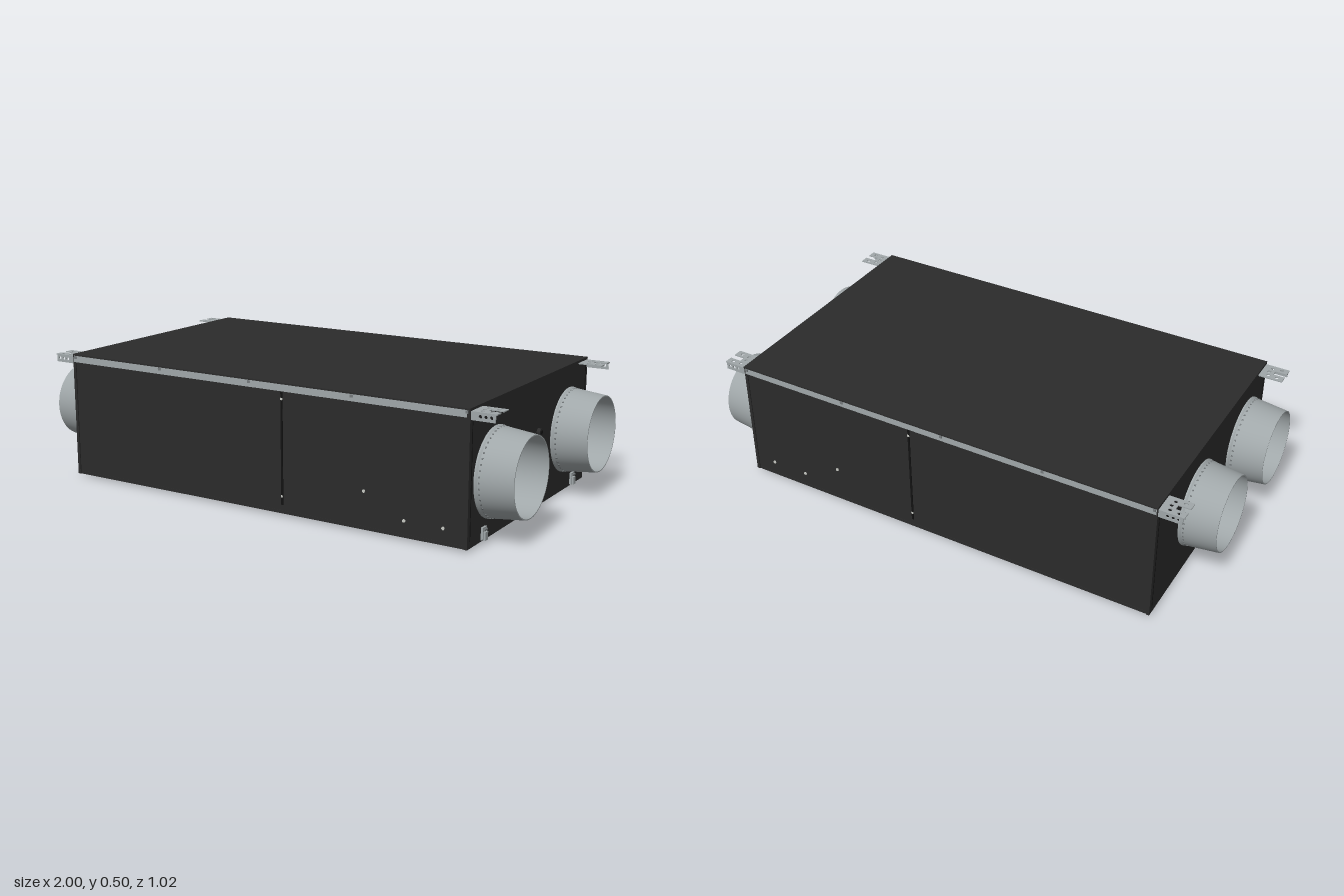
import * as THREE from 'three';
import { mergeGeometries, toCreasedNormals } from 'three/addons/utils/BufferGeometryUtils.js';

const mat = (name, color, side = THREE.FrontSide) => {
  const m = new THREE.MeshStandardMaterial({ color, side });
  m.name = name;
  return m;
};

export function createModel() {
  const root = new THREE.Group();
  root.name = 'ventilationUnit';
  const black = mat('casingBlack', 0x2b2b2b);
  const seamBlack = mat('seamBlack', 0x121212);
  const steel = mat('galvanisedSteel', 0xa0a7a9, THREE.DoubleSide);
  const darkSteel = mat('fanSteel', 0x74797b);
  const pale = mat('filterPale', 0xc6c8c2);

  const add = (name, geo, material, x = 0, y = 0, z = 0, parent = root) => {
    const m = new THREE.Mesh(geo, material);
    m.name = name;
    m.position.set(x, y, z);
    parent.add(m);
    return m;
  };
  const box = (name, material, w, h, d, x, y, z, parent) =>
    add(name, new THREE.BoxGeometry(w, h, d), material, x, y, z, parent);

  // Hollow casing
  box('bottomPanel', black, 1.716, 0.012, 1.01, 0, 0.016, 0);
  box('topPanel', black, 1.724, 0.006, 1.02, 0, 0.492, 0);
  for (const s of [-1, 1]) {
    box('sidePanel', black, 1.716, 0.475, 0.012, 0, 0.25, s * 0.498);
    box('topRail', steel, 1.716, 0.026, 0.004, 0, 0.476, s * 0.506);
    box('sideSeam', seamBlack, 0.008, 0.42, 0.003, 0.12, 0.253, s * 0.505);
    for (const y of [0.075, 0.435])
      box('seamScrew', pale, 0.008, 0.008, 0.003, 0.12, y, s * 0.507);
    for (const [x, y] of [[0.46, 0.15], [0.62, 0.07], [0.77, 0.07]]) {
      const screw = add('sideScrew', new THREE.CylinderGeometry(0.006, 0.006, 0.004, 12), pale, x, y, s * 0.505);
      screw.rotation.x = Math.PI / 2;
    }
    for (const x of [-0.85, -0.43, -0.02, 0.41, 0.85])
      box('railRivet', darkSteel, 0.01, 0.01, 0.004, x, 0.482, s * 0.509);
  }

  // Ducts: [side, y, z, interior]
  const ducts = [
    [1, 0.235, 0.31, 'filter'], [1, 0.245, -0.33, 'fan'],
    [-1, 0.262, 0.31, 'fan'], [-1, 0.262, -0.14, 'filter'],
  ];

  // End panels with duct openings
  for (const s of [-1, 1]) {
    const shape = new THREE.Shape();
    shape.moveTo(-0.508, 0.01);
    shape.lineTo(0.508, 0.01);
    shape.lineTo(0.508, 0.49);
    shape.lineTo(-0.508, 0.49);
    for (const [side, y, z] of ducts) {
      if (side !== s) continue;
      const hole = new THREE.Path();
      hole.absarc(-z, y, 0.146, 0, Math.PI * 2, true);
      shape.holes.push(hole);
    }
    const geo = new THREE.ExtrudeGeometry(shape, { depth: 0.012, bevelEnabled: false, curveSegments: 32 });
    geo.rotateY(Math.PI / 2);
    add('endPanel', geo, black, s > 0 ? 0.85 : -0.862);
    for (const z of [-0.49, 0.49])
      box('endSeam', seamBlack, 0.002, 0.44, 0.003, s * 0.8625, 0.255, z);
  }

  // Tapered duct collar, flared against the casing, with a ring of perforations
  const profile = [[0.146, -0.01], [0.163, 0], [0.163, 0.006], [0.159, 0.012], [0.158, 0.03],
    [0.146, 0.138], [0.142, 0.138], [0.146, -0.01]].map(([r, h]) => new THREE.Vector2(r, h));
  const collar = toCreasedNormals(new THREE.LatheGeometry(profile, 64), 0.5);
  const dots = mergeGeometries(Array.from({ length: 48 }, (_, i) =>
    new THREE.BoxGeometry(0.003, 0.006, 0.006).translate(0.1585, 0.018, 0).rotateY(i * Math.PI / 24)));

  const slats = mergeGeometries(Array.from({ length: 28 }, (_, i) =>
    new THREE.BoxGeometry(0.012, 0.3, 0.007).translate(0, 0, (i - 13.5) * 0.0125)));
  const blades = mergeGeometries(Array.from({ length: 36 }, (_, i) =>
    new THREE.BoxGeometry(0.024, 0.16, 0.003).rotateY(0.6).translate(0.1, 0, 0).rotateY(i * Math.PI / 18)));

  // Pleated filter with a diagonal rod and a floor tray
  function makeFilter(parent) {
    box('filterBacking', darkSteel, 0.01, 0.32, 0.36, -0.27, 0.325, 0, parent);
    add('filterPleats', slats, pale, -0.258, 0.32, 0, parent);
    box('filterTray', steel, 0.28, 0.02, 0.36, -0.14, 0.032, 0, parent);
    box('filterSill', steel, 0.012, 0.14, 0.36, -0.25, 0.09, 0, parent);
    const rod = box('filterRod', seamBlack, 0.004, 0.2, 0.004, -0.247, 0.245, 0.055, parent);
    rod.rotation.x = Math.atan2(0.09, 0.17);
  }

  // Centrifugal fan with motor and curved housing
  function makeFan(parent) {
    add('fanBlades', blades, darkSteel, -0.24, 0.26, 0.05, parent);
    add('fanCore', new THREE.CylinderGeometry(0.07, 0.07, 0.16, 24), darkSteel, -0.24, 0.26, 0.05, parent);
    add('fanMotor', new THREE.CylinderGeometry(0.085, 0.085, 0.05, 32), steel, -0.2, 0.145, 0.05, parent);
    add('fanHousing', new THREE.CylinderGeometry(0.15, 0.15, 0.44, 32, 1, true, Math.PI * 0.9, Math.PI * 0.95),
      steel, -0.24, 0.245, 0.05, parent);
    box('fanShroud', steel, 0.2, 0.12, 0.3, -0.24, 0.405, 0.03, parent);
    box('fanBase', steel, 0.26, 0.012, 0.3, -0.2, 0.112, 0.03, parent);
    box('fanSidePlate', steel, 0.1, 0.44, 0.07, -0.09, 0.245, -0.085, parent);
    box('fanSideStrip', pale, 0.1, 0.44, 0.01, -0.07, 0.245, -0.127, parent);
  }

  for (const [s, y, z, inside] of ducts) {
    const duct = new THREE.Group();
    duct.name = 'duct';
    duct.position.set(s * 0.862, y, z);
    duct.rotation.z = -s * Math.PI / 2;
    add('ductCollar', collar, steel, 0, 0, 0, duct);
    add('ductPerforations', dots, darkSteel, 0, 0, 0, duct);
    root.add(duct);
    const core = new THREE.Group();
    core.name = inside;
    core.position.set(s * 0.85, 0, z);
    core.rotation.y = s > 0 ? 0 : Math.PI;
    (inside === 'filter' ? makeFilter : makeFan)(core);
    root.add(core);
  }
  box('heatExchanger', darkSteel, 0.6, 0.44, 0.96, 0, 0.25, 0);

  // Corner mounting brackets: slotted plate and drilled flange
  const plate = new THREE.Shape([[0, 0], [0.095, 0], [0.095, 0.032], [0.05, 0.032], [0.05, 0.055],
    [0.095, 0.055], [0.095, 0.088], [0, 0.088]].map(p => new THREE.Vector2(...p)));
  const flange = new THREE.Shape([[0, 0], [0.09, 0], [0.09, 0.03], [0, 0.03]].map(p => new THREE.Vector2(...p)));
  const drill = (shape, points, r) => points.forEach(([x, y]) => {
    const hole = new THREE.Path();
    hole.absarc(x, y, r, 0, Math.PI * 2, true);
    shape.holes.push(hole);
  });
  drill(plate, [[0.035, 0.02], [0.07, 0.016], [0.035, 0.068], [0.07, 0.072], [0.03, 0.044]], 0.007);
  drill(flange, [[0.035, 0.015], [0.055, 0.015], [0.075, 0.015]], 0.006);
  const sheet = { depth: 0.004, bevelEnabled: false, curveSegments: 8 };
  const plateGeo = new THREE.ExtrudeGeometry(plate, sheet).rotateX(-Math.PI / 2);
  const flangeGeo = new THREE.ExtrudeGeometry(flange, sheet);
  for (const sx of [-1, 1]) for (const sz of [-1, 1]) {
    const bracket = new THREE.Group();
    bracket.name = 'mountingBracket';
    bracket.position.set(sx * 0.86, 0.456, sz * 0.504);
    bracket.scale.set(sx, 1, sz);
    add('bracketPlate', plateGeo, steel, 0, 0.026, 0, bracket);
    add('bracketFlange', flangeGeo, steel, 0, 0, -0.004, bracket);
    root.add(bracket);
  }

  // Latches on the +x end
  for (const z of [-0.39, 0.39]) {
    box('latchPlate', steel, 0.008, 0.045, 0.03, 0.866, 0.038, z);
    box('latchLever', steel, 0.012, 0.03, 0.02, 0.872, 0.03, z);
    box('latchHook', darkSteel, 0.006, 0.006, 0.024, 0.873, 0.052, z);
  }

  // Cable glands on the +x end
  for (const [y, z, r] of [[0.23, 0.04, 0.01], [0.255, 0, 0.014], [0.295, -0.052, 0.014]]) {
    const gland = new THREE.Group();
    gland.name = 'cableGland';
    gland.position.set(0.868, y, z);
    gland.rotation.z = -Math.PI / 2;
    add('glandNut', new THREE.CylinderGeometry(r, r, 0.014, 16), black, 0, 0, 0, gland);
    add('glandCore', new THREE.CylinderGeometry(r * 0.55, r * 0.55, 0.003, 16), seamBlack, 0, 0.008, 0, gland);
    root.add(gland);
  }

  // Underside: hinge plates, access plate, seam and small feet
  box('bottomSeam', seamBlack, 0.005, 0.003, 1.0, -0.507, 0.0095, 0);
  for (const [x, z] of [[-0.507, -0.38], [-0.507, 0], [-0.507, 0.38], [0.68, 0.34]]) {
    box('hingePlate', black, 0.05, 0.008, 0.056, x, 0.006, z);
    for (const dx of [-0.016, 0.016]) for (const dz of [-0.018, 0, 0.018])
      box('hingeScrew', darkSteel, 0.009, 0.002, 0.009, x + dx, 0.001, z + dz);
  }
  for (const x of [-0.17, 0.22]) for (const z of [-0.425, 0.425])
    add('foot', new THREE.CylinderGeometry(0.01, 0.01, 0.008, 12), seamBlack, x, 0.007, z);

  return root;
}
